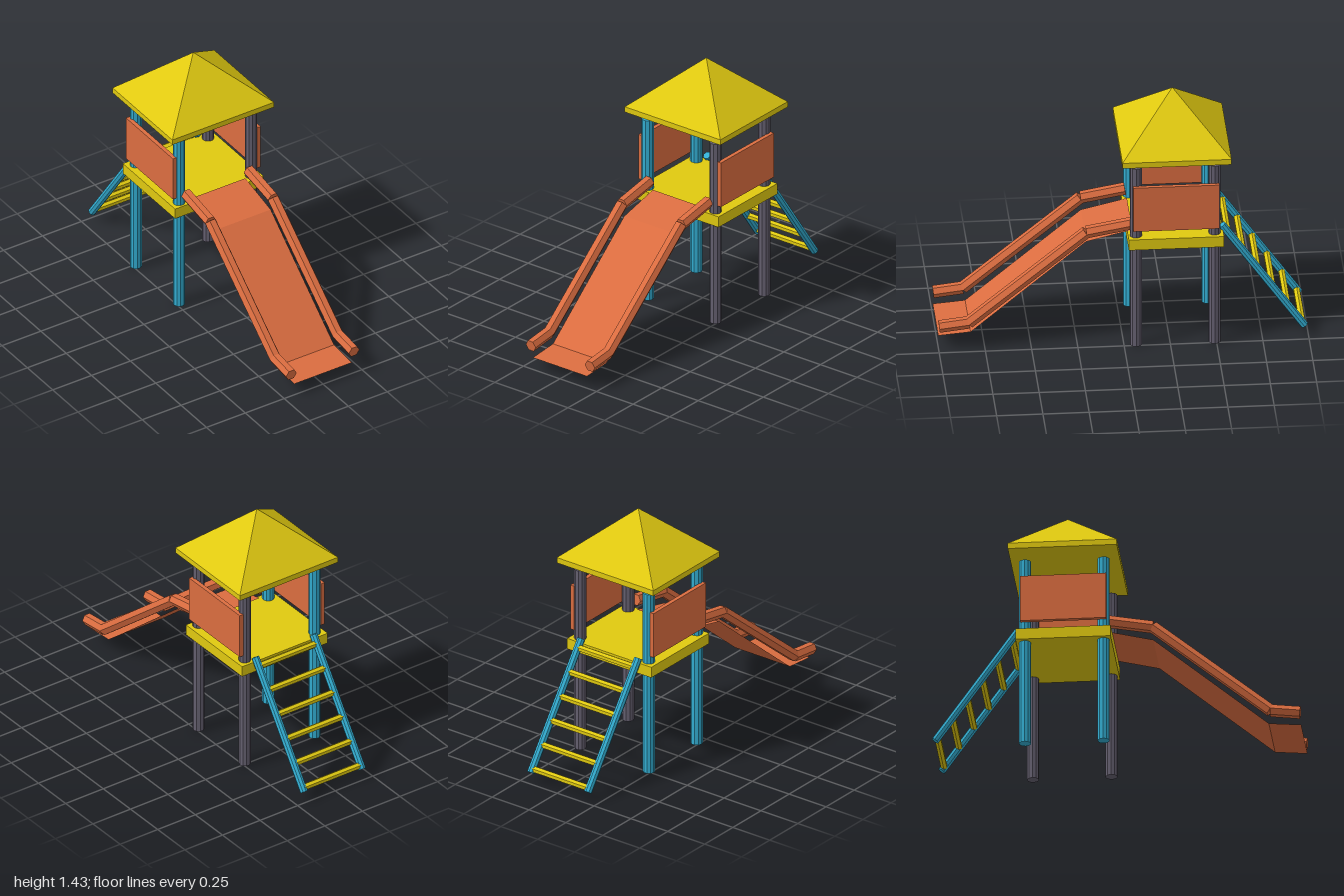
import * as THREE from 'three';

const V = (x, y, z) => new THREE.Vector3(x, y, z);

function mat(name, color) {
  const m = new THREE.MeshStandardMaterial({ color });
  m.name = name;
  return m;
}

// Faceted normals, one per face
function flat(geometry) {
  const g = geometry.index ? geometry.toNonIndexed() : geometry;
  g.computeVertexNormals();
  return g;
}

export function createModel() {
  const yellow = mat('yellow', 0xe0c910);
  const orange = mat('orange', 0xdb6d40);
  const blue = mat('blue', 0x33aed2);
  const grey = mat('grey', 0x656070);
  const slideSheet = mat('slide orange', 0xdb6d40);
  slideSheet.side = THREE.DoubleSide;

  const root = new THREE.Group();
  root.name = 'playgroundSlide';

  function add(parent, name, geometry, material) {
    const mesh = new THREE.Mesh(flat(geometry), material);
    mesh.name = name;
    parent.add(mesh);
    return mesh;
  }
  function box(name, material, w, h, d, x, y, z) {
    return add(root, name, new THREE.BoxGeometry(w, h, d).translate(x, y, z), material);
  }
  // Straight bar between two points
  function bar(parent, name, a, b, r, sides, material) {
    const dir = b.clone().sub(a);
    const g = new THREE.CylinderGeometry(r, r, dir.length(), sides).rotateY(Math.PI / 2);
    g.applyQuaternion(new THREE.Quaternion().setFromUnitVectors(V(0, 1, 0), dir.normalize()));
    const c = a.clone().add(b).multiplyScalar(0.5);
    return add(parent, name, g.translate(c.x, c.y, c.z), material);
  }

  const midZ = -0.28;

  // Posts: blue on the right, grey on the left
  for (const s of [-1, 1]) {
    for (const z of [-0.065, -0.49]) {
      bar(root, 'post', V(s * 0.232, 0, z), V(s * 0.232, 1.08, z), 0.033, 10, s < 0 ? blue : grey);
    }
    box('sidePanel', orange, 0.024, 0.265, 0.465, s * 0.27, 0.842, midZ);
  }

  // Deck and roof
  box('deck', yellow, 0.57, 0.063, 0.515, 0, 0.63, midZ);
  box('roofSlab', yellow, 0.654, 0.032, 0.59, 0, 1.136, midZ);
  add(root, 'roofPyramid', new THREE.ConeGeometry(Math.SQRT1_2, 1, 4, 1, true)
    .rotateY(Math.PI / 4).scale(0.654, 0.28, 0.59).translate(0, 1.292, midZ), yellow);

  // Slide: hexagonal handrails over a thin bent sheet
  const slide = new THREE.Group();
  slide.name = 'slide';
  root.add(slide);
  const railPath = [[0.72, -0.04], [0.677, 0.2], [0.154, 0.837], [0.135, 0.997]];
  for (const s of [-1, 1]) {
    for (let i = 0; i < 3; i++) {
      const [y0, z0] = railPath[i], [y1, z1] = railPath[i + 1];
      bar(slide, 'slideRail', V(s * 0.202, y0, z0), V(s * 0.202, y1, z1), 0.034, 6, orange);
    }
  }
  const bed = new THREE.PlaneGeometry(0.37, 1, 1, 3);
  const bedPath = [[0.67, -0.05], [0.61, 0.2], [0.086, 0.825], [0.071, 1.0]];
  for (let i = 0; i < 8; i++) {
    const [y, z] = bedPath[Math.floor(i / 2)];
    bed.attributes.position.setY(i, y);
    bed.attributes.position.setZ(i, z);
  }
  add(slide, 'slideBed', bed, slideSheet);

  // Ladder
  const ladder = new THREE.Group();
  ladder.name = 'ladder';
  root.add(ladder);
  const top = V(0, 0.687, -0.533), foot = V(0, 0.056, -0.98);
  for (const s of [-1, 1]) {
    const off = V(s * 0.193, 0, 0);
    bar(ladder, 'ladderRail', top.clone().add(off), foot.clone().add(off), 0.022, 8, blue);
  }
  for (let i = 0; i < 6; i++) {
    const p = top.clone().lerp(foot, 0.067 + i * 0.1805);
    bar(ladder, 'rung', V(-0.19, p.y, p.z), V(0.19, p.y, p.z), 0.019, 6, yellow);
  }

  return root;
}
